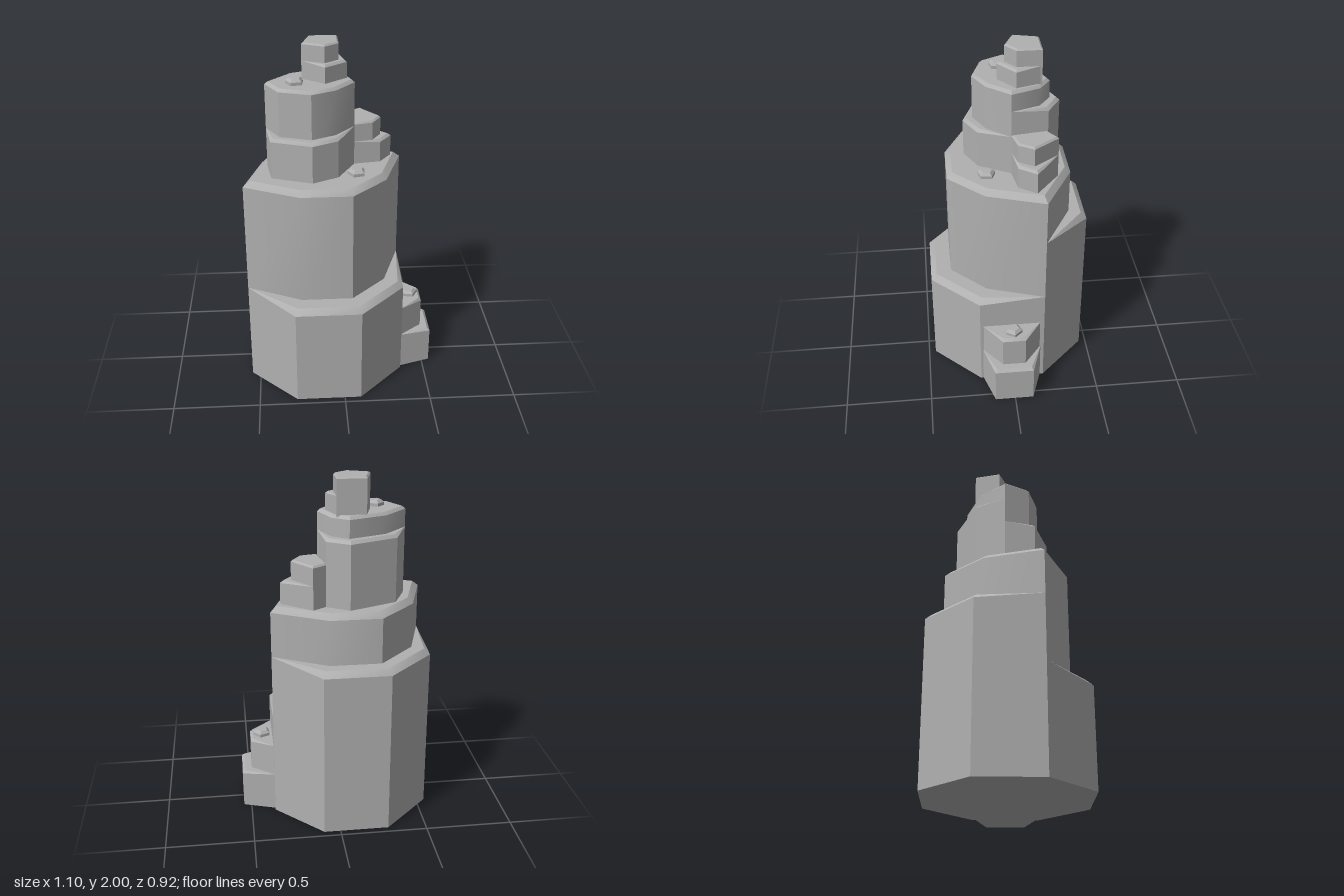
import * as THREE from 'three';
import { toCreasedNormals } from 'three/addons/utils/BufferGeometryUtils.js';

// Upright stone block over an [x, z] outline (counter-clockwise from above) with a
// bevelled top. When pinned, the bevel runs out to nothing at the first and last corners.
function blockGeometry(outline, y0, y1, bevel, pinned) {
  const n = outline.length;
  const unitInward = (a, b) => {
    const dx = b[0] - a[0], dz = b[1] - a[1], l = Math.hypot(dx, dz);
    return [dz / l, -dx / l];
  };
  const base = [], rim = [], top = [];
  outline.forEach((p, i) => {
    const [x, z] = p;
    const n1 = unitInward(outline[(i + n - 1) % n], p);
    const n2 = unitInward(p, outline[(i + 1) % n]);
    const k = bevel / (1 + n1[0] * n2[0] + n1[1] * n2[1]);
    const fixed = pinned && (i === 0 || i === n - 1);
    base.push([x, y0, z]);
    rim.push([x, fixed ? y1 : y1 - bevel, z]);
    top.push(fixed ? [x, y1, z] : [x + (n1[0] + n2[0]) * k, y1, z + (n1[1] + n2[1]) * k]);
  });

  const pos = [];
  const same = (a, b) => a.every((v, i) => Math.abs(v - b[i]) < 1e-6);
  const tri = (a, b, c) => {
    if (!same(a, b) && !same(b, c) && !same(a, c)) pos.push(...a, ...b, ...c);
  };
  for (let i = 0; i < n; i++) {
    const j = (i + 1) % n;
    for (const [lo, hi] of [[base, rim], [rim, top]]) {
      tri(lo[i], lo[j], hi[j]);
      tri(lo[i], hi[j], hi[i]);
    }
    if (i > 0 && i < n - 1) {
      tri(top[0], top[i], top[j]);
      tri(base[0], base[j], base[i]);
    }
  }
  const geo = new THREE.BufferGeometry();
  geo.setAttribute('position', new THREE.Float32BufferAttribute(pos, 3));
  return toCreasedNormals(geo, 0.6);
}

export function createModel() {
  const group = new THREE.Group();
  group.name = 'rockSpire';
  const stone = new THREE.MeshStandardMaterial({ color: 0xb0b0b0 });
  stone.name = 'grey stone';

  const add = (name, outline, y0, y1, bevel, pinned = false) => {
    const mesh = new THREE.Mesh(blockGeometry(outline, y0, y1, bevel, pinned), stone);
    mesh.name = name;
    group.add(mesh);
  };

  // Octagonal foot: low front half, tall back half
  const left = [-0.55, 0.19], right = [0.36, -0.19];
  add('frontBase', [left, [-0.28, 0.46], [0.095, 0.46], [0.36, 0.19], right], 0, 0.615, 0.033, true);
  add('backBase', [right, [0.095, -0.46], [-0.28, -0.46], [-0.55, -0.19], left], 0, 1.0, 0.033, true);

  // Main body
  add('mainBody', [left, [-0.24, 0.34], [0.05, 0.34], [0.25, 0.14], right,
    [0.05, -0.36], [-0.24, -0.36], [-0.45, -0.14]], 0.6, 1.295, 0.032);

  // Upper stack with a ledge in front and a higher one behind
  const upLeft = [-0.415, -0.02], upRight = [0.08, -0.02];
  add('upperFrontLedge', [upLeft, [-0.39, 0.15], [-0.165, 0.232], [-0.02, 0.16], upRight], 1.28, 1.527, 0.017, true);
  add('upperBackLedge', [upRight, [0.055, -0.225], [-0.07, -0.302], [-0.34, -0.19], upLeft], 1.28, 1.68, 0.017, true);
  add('upperBody', [upLeft, [-0.34, 0.12], [-0.165, 0.177], [-0.03, 0.11], upRight,
    [0.02, -0.18], [-0.07, -0.245], [-0.28, -0.165]], 1.28, 1.798, 0.016);

  // Peak
  add('peakLedge', [[-0.21, -0.05], [-0.085, 0.045], [0.038, -0.05], [-0.008, -0.19]], 1.78, 1.9, 0.012, true);
  add('peak', [[-0.21, -0.05], [-0.085, 0.004], [-0.006, -0.055], [-0.006, -0.195], [-0.17, -0.195]], 1.78, 2.0, 0.009);

  // Side stack on the shoulder
  add('shoulderLedge', [upRight, [0.23, -0.042], [0.3, -0.14], [0.13, -0.275]], 1.28, 1.43, 0.014, true);
  add('shoulderStone', [upRight, [0.185, -0.045], [0.238, -0.13], [0.13, -0.275], [0.05, -0.22]], 1.28, 1.543, 0.01);

  // Side stack on the ground
  add('sideLedge', [[0.36, 0.175], [0.545, 0.118], [0.545, -0.108], [0.36, -0.17]], 0, 0.23, 0.015, true);
  add('sideStone', [[0.36, 0.17], [0.49, 0.068], [0.49, -0.065], [0.36, -0.165]], 0, 0.42, 0.015, true);

  // Pebbles: [x, ground y, z, turn]
  [[-0.25, 1.797, 0.025, 0.5], [0.085, 1.294, 0.12, 0.55], [0.42, 0.419, 0, 0.1]].forEach(([x, y, z, turn], i) => {
    const ring = [0, 1, 2, 3, 4].map((k) => {
      const a = turn + (k * Math.PI * 2) / 5;
      return [x + 0.052 * Math.cos(a), z - 0.052 * Math.sin(a)];
    });
    add('pebble' + (i + 1), ring, y, y + 0.033, 0.015);
  });
  return group;
}
